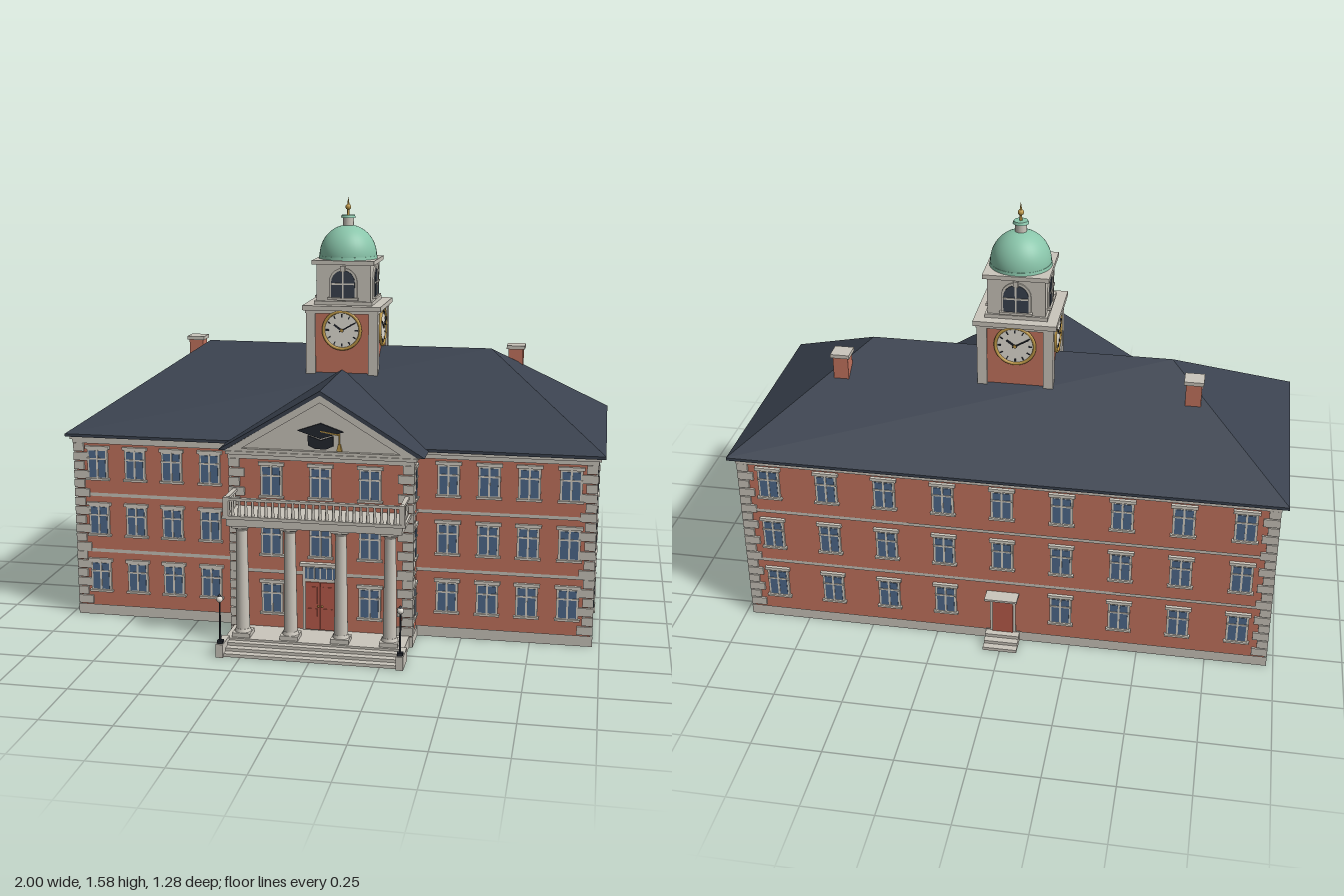
import * as THREE from 'three';
import { mergeGeometries } from 'three/addons/utils/BufferGeometryUtils.js';

const mat = (name, color, side = THREE.FrontSide) => {
  const m = new THREE.MeshStandardMaterial({ color, side });
  m.name = name;
  return m;
};

export function createModel() {
  const M = {
    brick: mat('brick', 0xc4745f, THREE.DoubleSide),
    stone: mat('stone', 0xcbc6bc, THREE.DoubleSide),
    trim: mat('windowTrim', 0xd6d1c6),
    slate: mat('slate', 0x3a424f, THREE.DoubleSide),
    glass: mat('glass', 0x4f6a8c),
    copper: mat('copper', 0x8ac6ab),
    gold: mat('gold', 0xc09a48),
    dark: mat('darkMetal', 0x23272f),
    door: mat('doorRed', 0xb95c4b),
    dial: mat('dial', 0xe4e0d6),
  };
  const root = new THREE.Group();
  root.name = 'hall';

  // Helpers
  const add = (parent, name, geo, m, x = 0, y = 0, z = 0) => {
    const mesh = new THREE.Mesh(geo, m);
    mesh.name = name;
    mesh.position.set(x, y, z);
    parent.add(mesh);
    return mesh;
  };
  // Box given by its centre in x and z, and its bottom and top
  const box = (parent, name, m, x, z, w, d, y0, y1) =>
    add(parent, name, new THREE.BoxGeometry(w, y1 - y0, d), m, x, (y0 + y1) / 2, z);
  const cyl = (parent, name, m, x, z, r0, r1, y0, y1, n = 20) =>
    add(parent, name, new THREE.CylinderGeometry(r1, r0, y1 - y0, n), m, x, (y0 + y1) / 2, z);
  // Four walls without floor or ceiling
  const shell = (name, m, x, z, w, d, y0, y1) => {
    const mesh = box(root, name, m, x, z, w, d, y0, y1);
    const g = mesh.geometry, idx = Array.from(g.index.array);
    g.clearGroups();
    g.setIndex([...idx.slice(0, 12), ...idx.slice(24)]);
  };
  const extrude = (shape, depth) =>
    new THREE.ExtrudeGeometry(shape, { depth, bevelEnabled: false, curveSegments: 10 });
  const poly = (pts) => new THREE.Shape(pts.map((p) => new THREE.Vector2(...p)));

  // Main block and front pavilion
  const HX = 0.967, ZF = 0.285, ZB = -0.555, ZC = -0.135, PX = 0.33, PZ = 0.41;
  const blocks = [[2 * HX, ZF - ZB, ZC], [2 * PX, PZ - 0.2, (PZ + 0.2) / 2]];
  for (const [w, d, z] of blocks) {
    shell('walls', M.brick, 0, z, w, d, 0.03, 0.69);
    shell('plinth', M.stone, 0, z, w + 0.016, d + 0.016, 0, 0.04);
    for (const y of [0.25, 0.47]) {
      shell('stringCourse', M.stone, 0, z, w + 0.01, d + 0.01, y, y + 0.013);
    }
    box(root, 'cornice', M.stone, 0, z, w + 0.02, d + 0.02, 0.675, 0.69);
    box(root, 'corniceTop', M.stone, 0, z, w + 0.036, d + 0.03, 0.69, 0.702);
  }

  // Corner stones, alternating long and short
  const quoins = [];
  const corners = [[HX, ZF, 1], [HX, ZB, -1], [PX, PZ, 1]];
  for (const [cx, cz, sz] of corners) for (const sx of [1, -1]) {
    for (let i = 0; i < 18; i++) {
      const a = i % 2 ? 0.04 : 0.058, b = i % 2 ? 0.058 : 0.04;
      const g = new THREE.BoxGeometry(a, 0.031, b);
      g.translate(sx * (cx + 0.008 - a / 2), 0.058 + i * 0.0353, cz + sz * (0.008 - b / 2));
      quoins.push(g);
    }
  }
  add(root, 'cornerStones', mergeGeometries(quoins), M.stone);

  // Windows, placed along each wall and merged
  const trims = [], panes = [];
  const windowAt = (x, y, z, turn, w = 0.08, h = 0.118) => {
    const put = (list, bw, bh, bd, px, py, pz) => {
      const g = new THREE.BoxGeometry(bw, bh, bd);
      g.translate(px, py, pz).rotateY(turn).translate(x, y, z);
      list.push(g);
    };
    put(trims, w, h, 0.008, 0, 0, 0.003);
    put(panes, w - 0.016, h - 0.016, 0.02, 0, 0, -0.001);
    put(trims, 0.007, h, 0.005, 0, 0, 0.009);
    put(trims, w, 0.006, 0.005, 0, h * 0.17, 0.009);
    put(trims, w + 0.014, 0.012, 0.014, 0, h / 2 + 0.004, 0.005);
    put(trims, w + 0.012, 0.008, 0.016, 0, -h / 2, 0.006);
  };
  [0.155, 0.377, 0.596].forEach((y, row) => {
    for (const s of [1, -1]) {
      for (const x of [0.445, 0.592, 0.735, 0.882]) windowAt(s * x, y, ZF, 0);
      for (const z of [0.14, -0.043, -0.223, -0.407]) windowAt(s * HX, y, z, s * Math.PI / 2);
      windowAt(s * 0.18, y, PZ, 0);
      windowAt(s * PX, y, 0.352, s * Math.PI / 2, 0.052);
    }
    if (row) windowAt(0, y, PZ, 0);
    for (let i = -4; i <= 4; i++) if (row || i) windowAt(i * 0.215, y, ZB, Math.PI);
  });
  add(root, 'windowFrames', mergeGeometries(trims), M.trim);
  add(root, 'windowPanes', mergeGeometries(panes), M.glass);

  // Hipped main roof
  const ex = 1, ef = 0.31, eb = -0.59, ey = 0.712, rx = 0.555, ry = 1.01, rz = -0.14;
  const A = [-ex, ey, ef], B = [ex, ey, ef], C = [ex, ey, eb], D = [-ex, ey, eb];
  const R = [rx, ry, rz], L = [-rx, ry, rz];
  const hip = new THREE.BufferGeometry();
  hip.setAttribute('position', new THREE.Float32BufferAttribute(
    [A, B, R, A, R, L, B, C, R, C, D, L, C, L, R, D, A, L].flat(), 3));
  hip.computeVertexNormals();
  add(root, 'mainRoof', hip, M.slate);
  box(root, 'eaves', M.slate, 0, -0.14, 2, 0.9, 0.701, 0.712);

  // Pavilion roof and pediment
  const chevron = (w, y0, y1, t) => {
    const k = (t * w) / (y1 - y0);
    return poly([[-w, y0], [-w + k, y0], [0, y1 - t], [w - k, y0], [w, y0], [0, y1]]);
  };
  add(root, 'pavilionRoof', extrude(chevron(0.375, 0.705, 0.933, 0.016), 0.46), M.slate, 0, 0, -0.035);
  add(root, 'rakingCornice', extrude(chevron(0.35, 0.703, 0.918, 0.028), 0.03), M.stone, 0, 0, 0.392);
  add(root, 'pediment', extrude(poly([[-0.345, 0.7], [0.345, 0.7], [0, 0.91]]), 0.12), M.stone, 0, 0, 0.285);
  box(root, 'pedimentBase', M.stone, 0, 0.36, 0.715, 0.12, 0.7, 0.712);

  // Graduation cap relief in the pediment
  const cap = new THREE.Group();
  cap.name = 'capRelief';
  cap.position.z = 0.405;
  root.add(cap);
  add(cap, 'capBoard', extrude(poly([[-0.083, 0.785], [0, 0.758], [0.083, 0.785], [0, 0.814]]), 0.009), M.dark);
  add(cap, 'capBody', extrude(poly([[-0.046, 0.768], [-0.046, 0.732], [-0.02, 0.72], [0.02, 0.72],
    [0.046, 0.732], [0.046, 0.768], [0, 0.752]]), 0.007), M.dark);
  add(cap, 'tasselCord', extrude(poly([[0, 0.784], [0.066, 0.772], [0.066, 0.735], [0.07, 0.735],
    [0.07, 0.776], [0, 0.788]]), 0.012), M.gold);
  add(cap, 'tassel', extrude(poly([[0.064, 0.74], [0.058, 0.715], [0.078, 0.715], [0.072, 0.74]]), 0.012), M.gold);

  // Portico floor, steps and cheek walls with lamps
  box(root, 'porchFloor', M.stone, 0, 0.475, 0.65, 0.15, 0, 0.042);
  for (let i = 0; i < 3; i++) {
    box(root, 'frontStep', M.stone, 0, 0.545 + (0.083 - i * 0.027) / 2, 0.62, 0.083 - i * 0.027, 0, 0.012 + i * 0.011);
  }
  for (const s of [1, -1]) {
    box(root, 'stepCheek', M.stone, s * 0.322, 0.592, 0.026, 0.096, 0, 0.049);
    box(root, 'lampBase', M.dark, s * 0.322, 0.622, 0.02, 0.02, 0.049, 0.06);
    cyl(root, 'lampPost', M.dark, s * 0.322, 0.622, 0.004, 0.003, 0.06, 0.2, 8);
    add(root, 'lampGlobe', new THREE.SphereGeometry(0.012, 12, 8), M.dial, s * 0.322, 0.212, 0.622);
    cyl(root, 'lampCap', M.dark, s * 0.322, 0.622, 0.008, 0.001, 0.222, 0.232, 8);
  }

  // Columns
  for (const x of [-0.268, -0.092, 0.092, 0.268]) {
    box(root, 'columnPlinth', M.stone, x, 0.507, 0.066, 0.066, 0.042, 0.058);
    cyl(root, 'columnBase', M.stone, x, 0.507, 0.03, 0.026, 0.058, 0.07);
    cyl(root, 'column', M.stone, x, 0.507, 0.025, 0.02, 0.07, 0.435);
    cyl(root, 'capital', M.stone, x, 0.507, 0.02, 0.029, 0.435, 0.449);
    box(root, 'abacus', M.stone, x, 0.507, 0.062, 0.062, 0.449, 0.46);
  }

  // Balcony with balustrade
  box(root, 'balconyBeam', M.stone, 0, 0.476, 0.63, 0.14, 0.458, 0.486);
  box(root, 'balconySlab', M.stone, 0, 0.48, 0.655, 0.15, 0.486, 0.498);
  box(root, 'frontRail', M.stone, 0, 0.544, 0.64, 0.016, 0.553, 0.563);
  const balusters = [];
  const baluster = (x, z) => {
    const g = new THREE.CylinderGeometry(0.004, 0.0065, 0.058, 8);
    balusters.push(g.translate(x, 0.526, z));
  };
  for (let i = -12; i <= 12; i++) baluster(i * 0.0242, 0.544);
  for (const s of [1, -1]) {
    box(root, 'sideRail', M.stone, s * 0.314, 0.475, 0.016, 0.14, 0.553, 0.563);
    box(root, 'railPost', M.stone, s * 0.314, 0.544, 0.02, 0.02, 0.498, 0.566);
    for (let i = 0; i < 4; i++) baluster(s * 0.314, 0.43 + i * 0.027);
  }
  add(root, 'balusters', mergeGeometries(balusters), M.stone);

  // Front door with fanlight
  box(root, 'doorFrame', M.trim, 0, PZ, 0.132, 0.016, 0.042, 0.288);
  box(root, 'doorHood', M.trim, 0, PZ + 0.005, 0.15, 0.03, 0.286, 0.298);
  box(root, 'fanlight', M.glass, 0, PZ + 0.008, 0.112, 0.006, 0.238, 0.28);
  for (let i = -2; i <= 2; i++) box(root, 'fanlightBar', M.trim, i * 0.0225, PZ + 0.01, 0.004, 0.006, 0.238, 0.28);
  for (const s of [1, -1]) {
    box(root, 'doorLeaf', M.door, s * 0.028, PZ + 0.009, 0.054, 0.009, 0.046, 0.226);
    for (const y of [0.062, 0.145]) box(root, 'doorPanel', M.door, s * 0.028, PZ + 0.013, 0.034, 0.006, y, y + 0.065);
    add(root, 'doorKnob', new THREE.SphereGeometry(0.004, 8, 6), M.gold, s * 0.007, 0.137, PZ + 0.017);
  }

  // Back door with canopy and steps
  box(root, 'backDoorFrame', M.trim, 0, ZB, 0.095, 0.016, 0.035, 0.2);
  box(root, 'backDoor', M.door, 0, ZB - 0.008, 0.076, 0.009, 0.036, 0.19);
  box(root, 'backCanopy', M.stone, 0, ZB - 0.025, 0.12, 0.06, 0.202, 0.21);
  for (let i = 0; i < 3; i++) {
    const d = 0.085 - i * 0.025;
    box(root, 'backStep', M.stone, 0, ZB - d / 2, 0.126, d, 0, 0.012 * (i + 1));
  }

  // Chimneys
  for (const s of [1, -1]) {
    box(root, 'chimney', M.brick, s * 0.642, -0.265, 0.056, 0.056, 0.8, 0.996);
    box(root, 'chimneyCap', M.stone, s * 0.642, -0.265, 0.07, 0.07, 0.994, 1.008);
  }

  // Clock tower
  const tower = new THREE.Group();
  tower.name = 'clockTower';
  tower.position.z = -0.135;
  root.add(tower);
  box(tower, 'towerShaft', M.brick, 0, 0, 0.26, 0.26, 0.8, 1.16);
  box(tower, 'towerCornice', M.stone, 0, 0, 0.28, 0.28, 1.148, 1.16);
  box(tower, 'towerCorniceTop', M.stone, 0, 0, 0.3, 0.3, 1.16, 1.178);
  box(tower, 'belfry', M.stone, 0, 0, 0.208, 0.208, 1.178, 1.33);
  box(tower, 'belfryBase', M.stone, 0, 0, 0.225, 0.225, 1.178, 1.192);
  box(tower, 'belfryCornice', M.stone, 0, 0, 0.238, 0.238, 1.33, 1.346);
  for (const sx of [1, -1]) for (const sz of [1, -1]) {
    box(tower, 'towerPilaster', M.stone, sx * 0.12, sz * 0.12, 0.036, 0.036, 0.8, 1.15);
  }
  const arch = (r, y0, y1) => {
    const s = new THREE.Shape();
    s.moveTo(-r, y0).lineTo(r, y0).lineTo(r, y1);
    s.absarc(0, y1, r, 0, Math.PI, false);
    s.lineTo(-r, y0);
    return s;
  };
  for (let k = 0; k < 4; k++) {
    const face = new THREE.Group();
    face.name = 'towerFace';
    face.rotation.y = (k * Math.PI) / 2;
    tower.add(face);
    // Arched belfry window
    add(face, 'archSurround', extrude(arch(0.054, 1.2, 1.264), 0.008), M.stone, 0, 0, 0.102);
    add(face, 'archPane', extrude(arch(0.045, 1.206, 1.264), 0.008), M.slate, 0, 0, 0.105);
    box(face, 'archMullion', M.trim, 0, 0.114, 0.006, 0.005, 1.206, 1.308);
    box(face, 'archTransom', M.trim, 0, 0.114, 0.09, 0.005, 1.255, 1.261);
    box(face, 'archKeystone', M.stone, 0, 0.11, 0.018, 0.018, 1.305, 1.326);
    box(face, 'archSill', M.stone, 0, 0.11, 0.118, 0.018, 1.197, 1.206);
    // Clock
    const clock = new THREE.Group();
    clock.name = 'clock';
    clock.position.set(0, 1.085, 0.13);
    face.add(clock);
    const dial = add(clock, 'clockDial', new THREE.CylinderGeometry(0.07, 0.07, 0.012, 40), M.dial);
    dial.rotation.x = Math.PI / 2;
    add(clock, 'clockRing', new THREE.TorusGeometry(0.071, 0.006, 8, 40), M.gold, 0, 0, 0.006);
    const mark = (name, w, from, to, turn, z) => {
      const g = new THREE.BoxGeometry(w, to - from, 0.003);
      g.translate(0, (from + to) / 2, 0).rotateZ(turn);
      add(clock, name, g, M.dark, 0, 0, z);
    };
    for (let i = 0; i < 12; i++) mark('hourMark', i % 3 ? 0.004 : 0.006, 0.05, 0.062, (i * Math.PI) / 6, 0.007);
    mark('hourHand', 0.007, -0.008, 0.036, Math.PI / 3 - 0.1, 0.009);
    mark('minuteHand', 0.005, -0.01, 0.056, -Math.PI / 3, 0.011);
    const hub = add(clock, 'clockHub', new THREE.CylinderGeometry(0.006, 0.006, 0.006, 12), M.gold, 0, 0, 0.011);
    hub.rotation.x = Math.PI / 2;
  }

  // Dome, lantern and finial
  const dome = add(tower, 'dome', new THREE.SphereGeometry(0.11, 40, 16, 0, Math.PI * 2, 0, Math.PI / 2), M.copper, 0, 1.356, 0);
  dome.scale.y = 1.06;
  cyl(tower, 'domeRing', M.copper, 0, 0, 0.113, 0.111, 1.346, 1.357, 40);
  cyl(tower, 'lantern', M.stone, 0, 0, 0.021, 0.021, 1.465, 1.5);
  cyl(tower, 'lanternCap', M.copper, 0, 0, 0.029, 0.025, 1.5, 1.51);
  cyl(tower, 'finialRod', M.gold, 0, 0, 0.005, 0.004, 1.51, 1.545, 10);
  add(tower, 'finialBall', new THREE.SphereGeometry(0.011, 14, 10), M.gold, 0, 1.54, 0);
  cyl(tower, 'finialTip', M.gold, 0, 0, 0.005, 0.0005, 1.545, 1.577, 10);

  return root;
}
